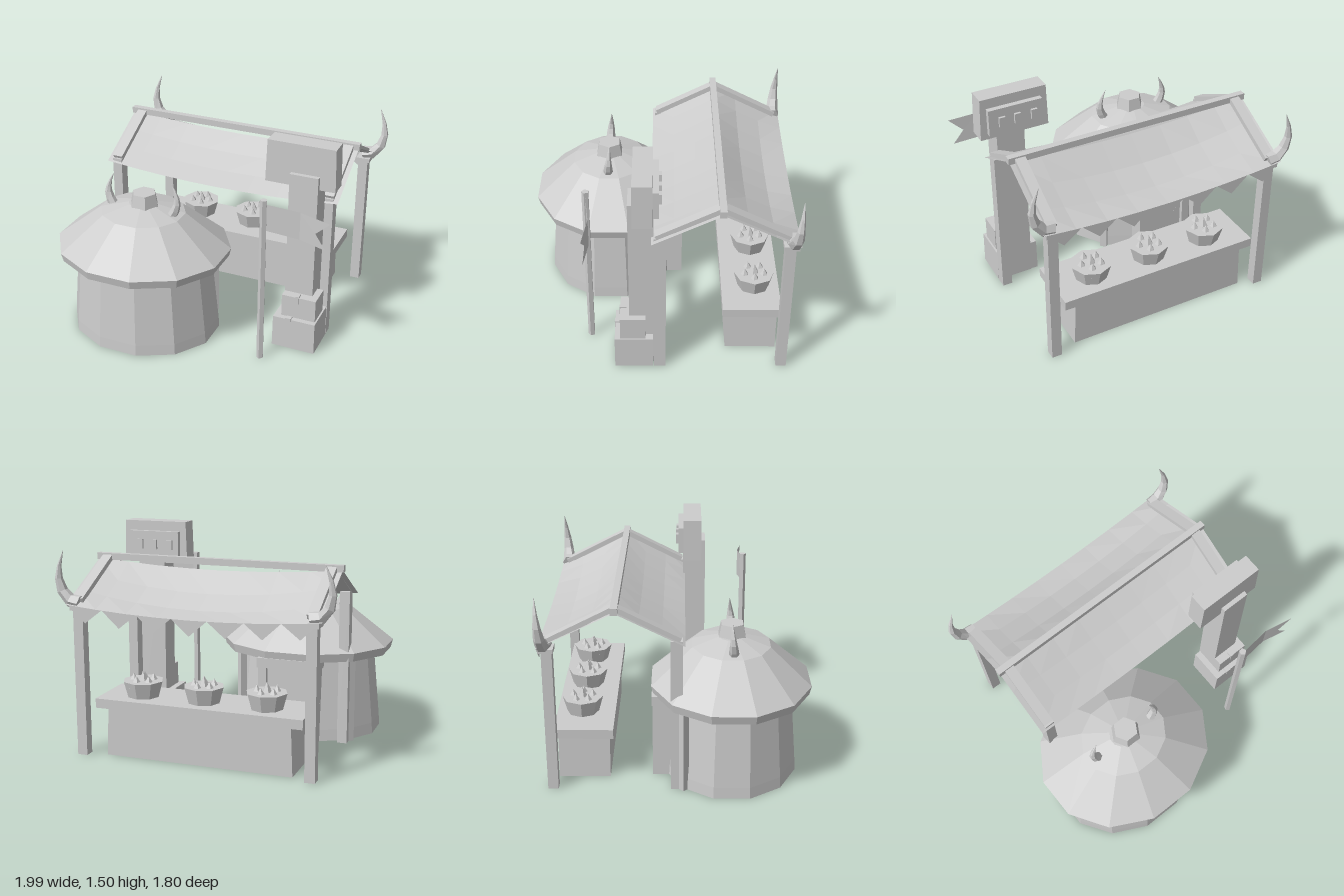
import * as THREE from 'three';

const plain = new THREE.MeshStandardMaterial({ color: 0xcccccc, side: THREE.DoubleSide });
plain.name = 'plain grey';

// Adds a faceted mesh to a parent
function add(parent, name, geometry, x = 0, y = 0, z = 0) {
  const g = geometry.index ? geometry.toNonIndexed() : geometry;
  g.computeVertexNormals();
  const mesh = new THREE.Mesh(g, plain);
  mesh.name = name;
  mesh.position.set(x, y, z);
  parent.add(mesh);
  return mesh;
}

// Box from its minimum and maximum corners; top may be narrowed
function block(parent, name, x0, x1, y0, y1, z0, z1, taper = 1) {
  const g = new THREE.BoxGeometry(x1 - x0, y1 - y0, z1 - z0);
  const p = g.attributes.position;
  for (let i = 0; i < p.count; i++) if (p.getY(i) > 0) p.setX(i, p.getX(i) * taper);
  return add(parent, name, g, (x0 + x1) / 2, (y0 + y1) / 2, (z0 + z1) / 2);
}

// Square bar between two points
function beam(parent, name, a, b, w, h = w) {
  const A = new THREE.Vector3(...a), B = new THREE.Vector3(...b);
  const m = add(parent, name, new THREE.BoxGeometry(w, h, A.distanceTo(B)));
  m.position.copy(A).add(B).multiplyScalar(0.5);
  m.lookAt(B);
  return m;
}

// Curved, tapering horn through points in an xy plane
function horn(parent, name, pts, radius, z, lean, side = 1) {
  const curve = new THREE.CatmullRomCurve3(pts.map(([x, y]) => new THREE.Vector3(x * side, y, 0)));
  const g = new THREE.CylinderGeometry(1, 1, 1, 6, 5);
  const p = g.attributes.position;
  for (let i = 0; i < p.count; i++) {
    const t = p.getY(i) + 0.5, r = radius * (1 - 0.97 * Math.pow(t, 1.3));
    const c = curve.getPoint(t), d = curve.getTangent(t);
    p.setXYZ(i, c.x + d.y * p.getX(i) * r, c.y - d.x * p.getX(i) * r, p.getZ(i) * r + lean * t);
  }
  return add(parent, name, g, 0, 0, z);
}

function lathe(parent, name, profile, sides, start, depth) {
  const pts = profile.map(([r, y]) => new THREE.Vector2(r, y));
  const g = new THREE.LatheGeometry(pts, sides, start);
  g.scale(1, 1, depth);
  return add(parent, name, g);
}

function createHut() {
  const hut = new THREE.Group();
  hut.name = 'hut';
  const start = Math.PI / 12;
  lathe(hut, 'hutWall', [[0.543, 0], [0.538, 0.08], [0.487, 0.6]], 12, start, 0.865);
  lathe(hut, 'hutRoof', [[0.48, 0.6], [0.61, 0.59], [0.626, 0.65], [0.305, 0.9], [0.1, 0.955], [0, 0.955]], 12, start, 0.89);
  lathe(hut, 'roofCap', [[0.107, 0.94], [0.085, 1.04], [0, 1.04]], 6, Math.PI / 6, 1).position.set(0.015, 0, 0.005);
  for (const s of [-1, 1]) {
    horn(hut, 'roofHorn', [[0.225, 0.9], [0.262, 0.98], [0.258, 1.05], [0.222, 1.135]], 0.036, 0.01, -0.015, s);
    // Timbers against the back wall
    const timber = block(hut, 'wallTimber', -0.025, 0.025, 0, 0.59, -0.025, 0.025);
    timber.position.x = s * 0.4;
    timber.position.z = -0.32;
    timber.rotation.y = -s * Math.PI / 4;
    block(hut, 'doorPost', s * 0.18 - 0.03, s * 0.18 + 0.03, 0, 0.53, -0.53, -0.36);
  }
  // Porch at the back
  block(hut, 'doorLintel', -0.22, 0.22, 0.53, 0.6, -0.535, -0.36);
  block(hut, 'door', -0.15, 0.15, 0, 0.53, -0.5, -0.44);
  block(hut, 'doorKnob', -0.11, -0.085, 0.27, 0.3, -0.515, -0.5);
  hut.position.set(-0.395, 0, 0.36);
  return hut;
}

// Sagging cloth panel from the ridge to an eave
function cloth(parent, name, zEave, yEave, belly) {
  const g = new THREE.PlaneGeometry(2, 1, 8, 3);
  const p = g.attributes.position;
  for (let i = 0; i < p.count; i++) {
    const u = p.getX(i), v = 0.5 - p.getY(i), hang = 1 - u * u;
    const y = THREE.MathUtils.lerp(1.285, yEave, v) - hang * (0.045 + belly * Math.sin(Math.PI * v));
    p.setXYZ(i, u * 0.87, y, THREE.MathUtils.lerp(-0.4, zEave, v));
  }
  add(parent, name, g);
}

function createStall() {
  const stall = new THREE.Group();
  stall.name = 'stall';
  for (const s of [-1, 1]) {
    const x = s * 0.8;
    block(stall, 'frontPost', x - 0.035, x + 0.035, 0, 1.08, -0.045, 0.035);
    block(stall, 'backPost', x - 0.035, x + 0.035, 0, 1.01, -0.87, -0.8);
    block(stall, 'postCap', x - 0.05, x + 0.05, 1.0, 1.03, -0.89, -0.79);
    beam(stall, 'frontRafter', [x, 1.3, -0.4], [x, 1.085, 0.02], 0.07, 0.035);
    beam(stall, 'backRafter', [x, 1.3, -0.4], [x, 1.065, -0.86], 0.07, 0.035);
    horn(stall, 'postHorn', [[0.79, 1.05], [0.87, 1.07], [0.925, 1.17], [0.925, 1.27], [0.885, 1.395]], 0.052, -0.85, -0.035, s);
  }
  block(stall, 'ridgeBeam', -0.88, 0.88, 1.275, 1.32, -0.42, -0.375);
  cloth(stall, 'frontCloth', 0.05, 1.06, 0.02);
  cloth(stall, 'backCloth', -0.9, 1.04, 0.06);

  // Row of pennants hanging from the back eave
  const edge = x => 1.04 - 0.045 * (1 - (x / 0.87) ** 2);
  const w = 0.245;
  for (let i = -3; i <= 3; i++) {
    const c = i * w, l = c - w / 2, r = c + w / 2;
    const shape = new THREE.Shape([new THREE.Vector2(l, edge(l)), new THREE.Vector2(c, edge(c) - 0.105), new THREE.Vector2(r, edge(r))]);
    add(stall, 'pennant', new THREE.ShapeGeometry(shape), 0, 0, -0.895);
  }

  // Counter
  block(stall, 'counterBody', -0.67, 0.64, 0, 0.33, -0.81, -0.46, 0.98);
  block(stall, 'counterTop', -0.74, 0.71, 0.33, 0.395, -0.83, -0.43);

  // Bowls heaped with pointed goods
  for (const x of [-0.445, -0.005, 0.435]) {
    const bowl = new THREE.Group();
    bowl.name = 'bowl';
    bowl.position.set(x, 0.395, -0.655);
    add(bowl, 'bowlBody', new THREE.CylinderGeometry(0.14, 0.11, 0.11, 8), 0, 0.055, 0);
    for (let k = 0; k < 6; k++) {
      const a = k * Math.PI * 0.4, d = k === 5 ? 0 : 0.07;
      const h = k === 5 ? 0.11 : 0.085;
      add(bowl, 'goods', new THREE.ConeGeometry(0.052, h, 5), Math.cos(a) * d, 0.07 + h / 2, Math.sin(a) * d);
    }
    stall.add(bowl);
  }
  stall.position.x = 0.035;
  return stall;
}

function createSign() {
  const sign = new THREE.Group();
  sign.name = 'sign';
  block(sign, 'signColumn', 0.61, 0.81, 0, 1.295, 0.035, 0.2);
  block(sign, 'signBoard', 0.43, 0.92, 1.2, 1.5, 0.038, 0.168, 0.96);
  block(sign, 'signPlaque', 0.485, 0.87, 1.24, 1.43, 0.0, 0.04);
  for (const x of [0.55, 0.67, 0.78]) block(sign, 'signPeg', x - 0.022, x + 0.022, 1.3, 1.37, -0.018, 0.0);

  // Crates at the foot of the column
  block(sign, 'lowerCrate', 0.56, 0.87, 0, 0.235, 0.04, 0.3, 0.98);
  block(sign, 'upperCrate', 0.61, 0.855, 0.235, 0.4, 0.09, 0.262);
  block(sign, 'lowerClasp', 0.655, 0.695, 0.19, 0.245, 0.27, 0.305);
  block(sign, 'upperClasp', 0.71, 0.735, 0.35, 0.412, 0.22, 0.268);
  return sign;
}

function createFlag() {
  const flag = new THREE.Group();
  flag.name = 'flag';
  add(flag, 'flagPole', new THREE.CylinderGeometry(0.025, 0.025, 1.22, 5), 0.54, 0.61, 0.478);
  // Swallow-tailed banner, bent in two panels
  const g = new THREE.BufferGeometry();
  g.setAttribute('position', new THREE.Float32BufferAttribute([
    0.555, 1.19, 0.478, 0.555, 1.0, 0.478,
    0.78, 1.165, 0.45, 0.78, 0.97, 0.45,
    0.89, 1.045, 0.468, 0.99, 1.14, 0.483, 0.965, 0.945, 0.48,
  ], 3));
  g.setIndex([0, 1, 3, 0, 3, 2, 2, 3, 4, 2, 4, 5, 4, 3, 6]);
  add(flag, 'banner', g);
  return flag;
}

export function createModel() {
  const model = new THREE.Group();
  model.name = 'marketCamp';
  model.add(createHut(), createStall(), createSign(), createFlag());
  return model;
}
